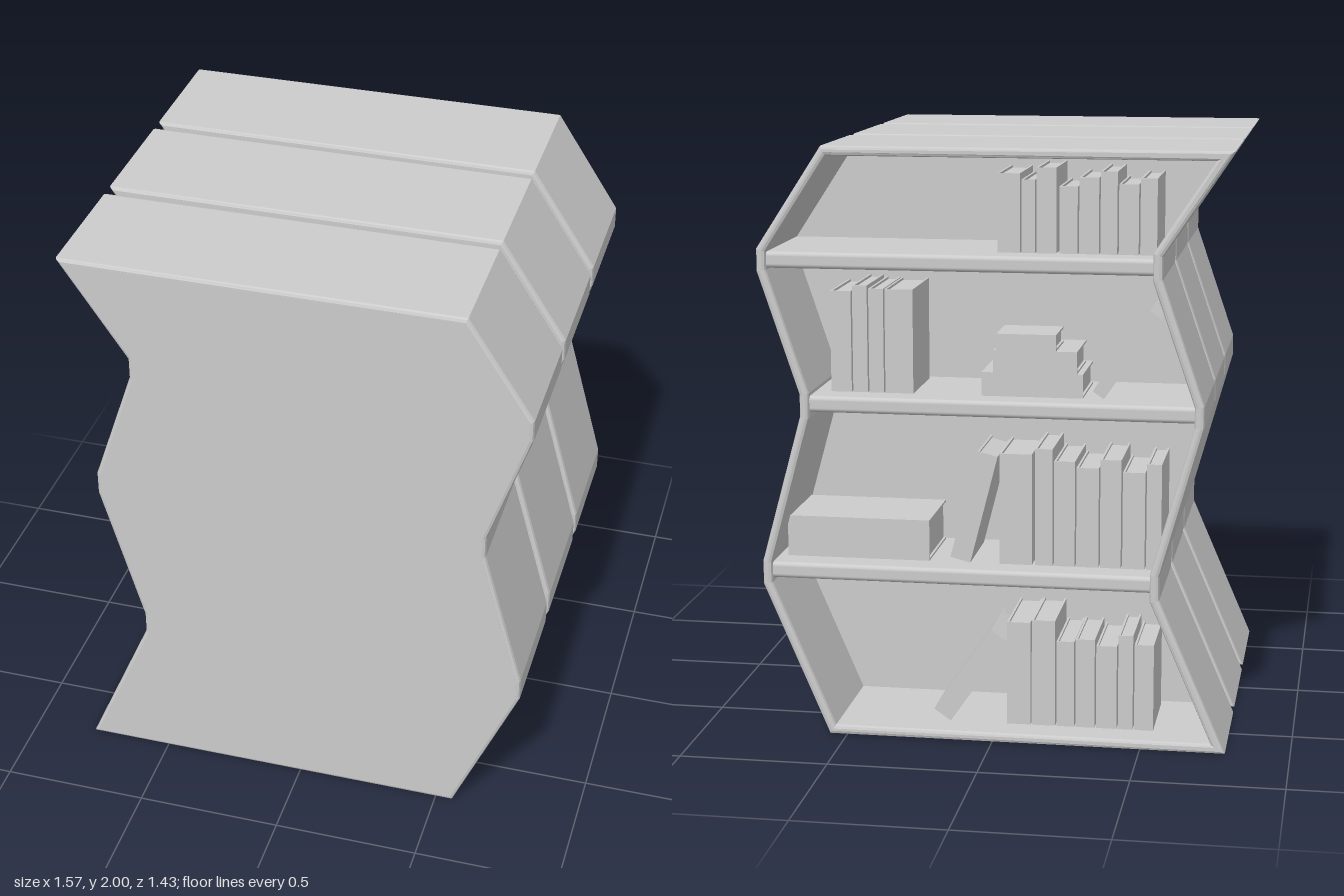
import * as THREE from 'three';
import { mergeGeometries } from 'three/addons/utils/BufferGeometryUtils.js';
import { RoundedBoxGeometry } from 'three/addons/geometries/RoundedBoxGeometry.js';

const grey = new THREE.MeshStandardMaterial({ color: 0xcccccc });
const DEPTH = 0.452, WALL = 0.032, BEVEL = 0.012;

// zigzag silhouette, counter-clockwise from the bottom left
const outline = [
  [-0.785, 0], [0.56, 0], [0.782, 0.52], [0.782, 0.6], [0.645, 1.1], [0.645, 1.175],
  [0.782, 1.585], [0.782, 1.66], [0.56, 2], [-0.785, 2], [-0.56, 1.66], [-0.56, 1.585],
  [-0.7, 1.175], [-0.7, 1.1], [-0.56, 0.6], [-0.56, 0.52],
].map(([x, y]) => new THREE.Vector2(x, y));

// mitred inset of the silhouette
function inset(points, d) {
  const n = points.length;
  const normal = (a, b) => new THREE.Vector2(a.y - b.y, b.x - a.x).normalize();
  return points.map((p, i) => {
    const n1 = normal(points[(i + n - 1) % n], p);
    const n2 = normal(p, points[(i + 1) % n]);
    const k = d / (1 + n1.dot(n2));
    return new THREE.Vector2(p.x + (n1.x + n2.x) * k, p.y + (n1.y + n2.y) * k);
  });
}

function add(parent, geometry, name) {
  const mesh = new THREE.Mesh(geometry, grey);
  mesh.name = name;
  parent.add(mesh);
  return mesh;
}

// upright book: spine toward -z, right bottom edge on the origin
function bookGeometry(t, h, d) {
  const c = 0.007, lip = 0.008;
  const block = (w, hh, dd, x, y, z) => new THREE.BoxGeometry(w, hh, dd).translate(x, y, z);
  return mergeGeometries([
    block(c, h, d, c / 2, h / 2, d / 2),
    block(c, h, d, t - c / 2, h / 2, d / 2),
    block(t - 2 * c, h, c, t / 2, h / 2, c / 2),
    block(t - 2 * c, h - 2 * lip, d - c - lip, t / 2, h / 2, c + (d - c - lip) / 2),
  ]);
}

// levels: floor height, upright books [x, thickness, height, depth, lean],
// lying books [x, thickness, length, depth] stacked in order
const levels = [
  { y: WALL, upright: [
    [0.16, 0.07, 0.35, 0.27, 0.6], [-0.115, 0.08, 0.36, 0.3], [-0.2, 0.08, 0.37, 0.28],
    [-0.265, 0.06, 0.3, 0.29], [-0.335, 0.065, 0.31, 0.27], [-0.41, 0.07, 0.29, 0.28],
    [-0.465, 0.05, 0.33, 0.26], [-0.535, 0.065, 0.3, 0.28]], lying: [] },
  { y: 0.595, upright: [
    [0.09, 0.07, 0.38, 0.27, 0.25], [-0.12, 0.11, 0.38, 0.27], [-0.19, 0.06, 0.4, 0.27],
    [-0.265, 0.07, 0.36, 0.29], [-0.345, 0.075, 0.34, 0.27], [-0.42, 0.07, 0.37, 0.28],
    [-0.5, 0.075, 0.33, 0.28], [-0.555, 0.05, 0.36, 0.27]], lying: [[0.23, 0.14, 0.49, 0.3]] },
  { y: 1.17, upright: [
    [0.49, 0.07, 0.34, 0.28], [0.435, 0.05, 0.36, 0.27], [0.38, 0.05, 0.35, 0.29],
    [0.28, 0.095, 0.35, 0.28], [-0.36, 0.045, 0.33, 0.25, 0.6]],
    lying: [[-0.29, 0.08, 0.34, 0.27], [-0.27, 0.075, 0.28, 0.24], [-0.2, 0.055, 0.2, 0.18]] },
  { y: 1.65, upright: [
    [-0.08, 0.075, 0.26, 0.28], [-0.13, 0.045, 0.24, 0.28], [-0.2, 0.065, 0.28, 0.26],
    [-0.27, 0.06, 0.22, 0.28], [-0.34, 0.065, 0.25, 0.28], [-0.4, 0.055, 0.27, 0.27],
    [-0.47, 0.065, 0.23, 0.28], [-0.53, 0.055, 0.25, 0.27]], lying: [] },
];

function createBooks() {
  const books = new THREE.Group();
  books.name = 'books';
  const spineZ = -DEPTH / 2 + 0.11;
  for (const { y, upright, lying } of levels) {
    for (const [x, t, h, d, lean = 0] of upright) {
      const book = add(books, bookGeometry(t, h, d), lean ? 'leaningBook' : 'uprightBook');
      book.position.set(x, y, spineZ);
      book.rotation.z = lean;
    }
    let top = y;
    for (const [x, t, length, d] of lying) {
      top += t;
      const book = add(books, bookGeometry(t, length, d), 'lyingBook');
      book.position.set(x, top, spineZ);
      book.rotation.z = -Math.PI / 2;
      }
  }
  return books;
}

function createBookcase() {
  const bookcase = new THREE.Group();
  bookcase.name = 'bookcase';

  // zigzag frame with softened rims
  const shape = new THREE.Shape(outline);
  shape.holes.push(new THREE.Path(inset(outline, WALL).reverse()));
  const frame = new THREE.ExtrudeGeometry(shape, {
    depth: DEPTH - 2 * BEVEL, bevelEnabled: true, bevelSize: BEVEL,
    bevelThickness: BEVEL, bevelOffset: -BEVEL, bevelSegments: 2,
  });
  add(bookcase, frame.translate(0, 0, -DEPTH / 2 + BEVEL), 'frame');

  // closed panel
  const panel = new THREE.ExtrudeGeometry(new THREE.Shape(inset(outline, BEVEL + 0.002)), {
    depth: 0.025, bevelEnabled: false,
  });
  add(bookcase, panel.translate(0, 0, DEPTH / 2 - 0.0245), 'panel');

  // shelves with rounded edges, let into the frame
  for (const [x0, x1, top] of [[-0.54, 0.762, 0.595], [-0.68, 0.625, 1.17], [-0.54, 0.762, 1.65]]) {
    const shelf = add(bookcase, new RoundedBoxGeometry(x1 - x0, 0.055, DEPTH - 0.03, 3, 0.015), 'shelf');
    shelf.position.set((x0 + x1) / 2, top - 0.0275, -0.002);
  }

  bookcase.add(createBooks());
  return bookcase;
}

export function createModel() {
  const model = new THREE.Group();
  model.name = 'bookcaseRow';
  for (const z of [-0.487, 0, 0.487]) {
    const bookcase = createBookcase();
    bookcase.position.z = z;
    model.add(bookcase);
  }
  return model;
}
